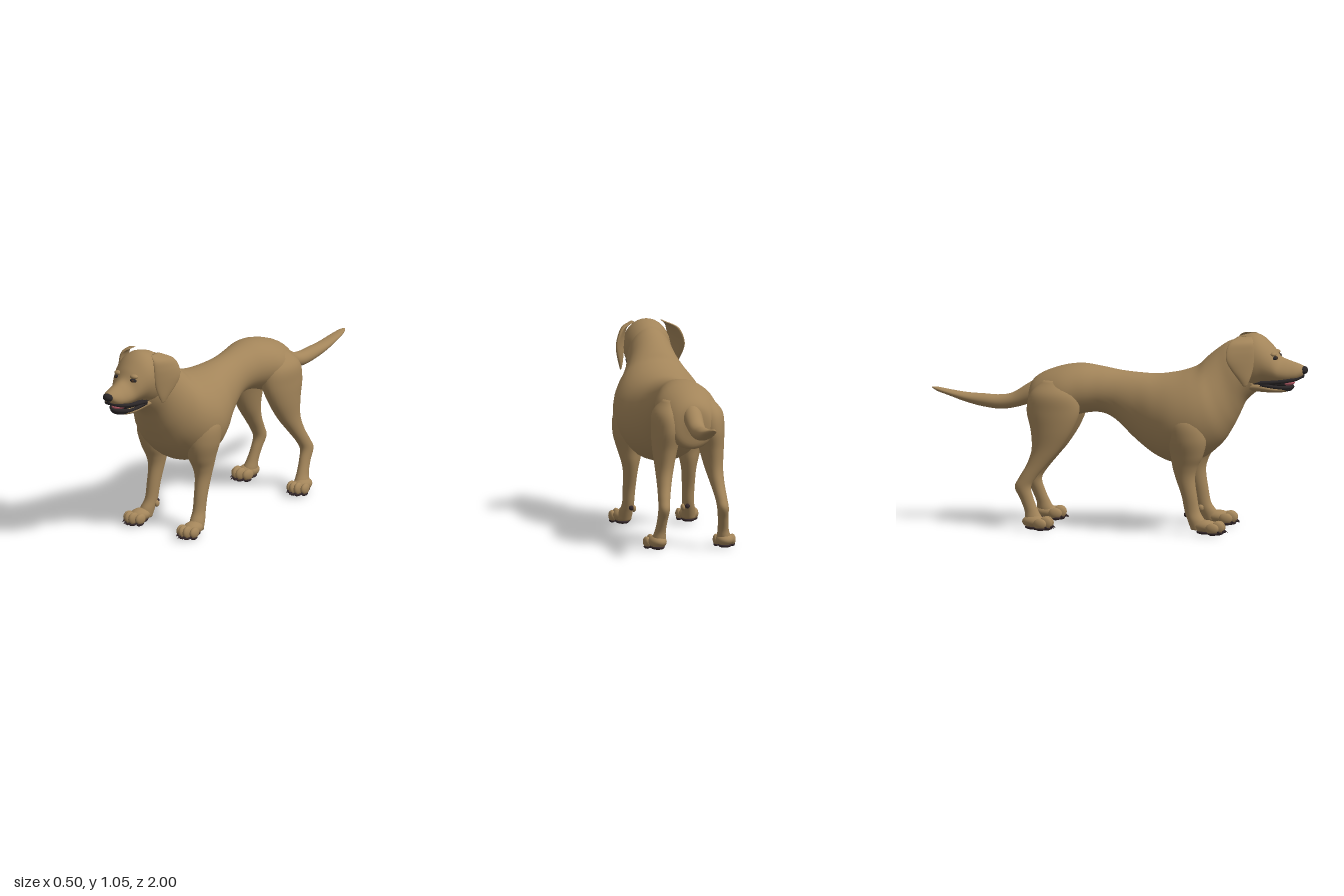
import * as THREE from 'three';

const mat = (name, color) => {
  const m = new THREE.MeshStandardMaterial({ color });
  m.name = name;
  return m;
};
const V = (x, y, z) => new THREE.Vector3(x, y, z);

// Smooth closed skin through sections { a, b, side, w, p }: a and b are opposite
// rim points, w the half width along side, p widens the b end.
function loft(sections, steps = 6, sides = 32) {
  const curve = (f) => new THREE.CatmullRomCurve3(sections.map(f), false, 'catmullrom', 0.5);
  const ca = curve((s) => s.a), cb = curve((s) => s.b);
  const cs = curve((s) => s.side), cw = curve((s) => V(s.w, s.p || 0, 0));
  const n = (sections.length - 1) * steps;
  const pos = [], idx = [];
  for (let i = 0; i <= n; i++) {
    const t = i / n, a = ca.getPoint(t), b = cb.getPoint(t), w = cw.getPoint(t);
    const side = cs.getPoint(t).normalize();
    const mid = a.clone().add(b).multiplyScalar(0.5), half = a.clone().sub(mid);
    for (let j = 0; j < sides; j++) {
      const g = (j / sides) * Math.PI * 2, c = Math.cos(g);
      const q = mid.clone().addScaledVector(half, c)
        .addScaledVector(side, Math.sin(g) * w.x * (1 - w.y * c));
      pos.push(q.x, q.y, q.z);
      if (i < n) {
        const k = i * sides + j, l = i * sides + ((j + 1) % sides);
        idx.push(k, l, k + sides, l, l + sides, k + sides);
      }
    }
  }
  // end caps
  for (const i of [0, n]) {
    const m = ca.getPoint(i / n).add(cb.getPoint(i / n)).multiplyScalar(0.5);
    const c = pos.length / 3;
    pos.push(m.x, m.y, m.z);
    for (let j = 0; j < sides; j++) {
      const k = i * sides + j, l = i * sides + ((j + 1) % sides);
      if (i === 0) idx.push(c, l, k); else idx.push(c, k, l);
    }
  }
  // turn the skin outward if its signed volume is negative
  let vol = 0;
  const P = (i) => V(pos[3 * i], pos[3 * i + 1], pos[3 * i + 2]);
  for (let i = 0; i < idx.length; i += 3) vol += P(idx[i]).dot(P(idx[i + 1]).cross(P(idx[i + 2])));
  if (vol < 0) idx.reverse();
  const geo = new THREE.BufferGeometry();
  geo.setAttribute('position', new THREE.Float32BufferAttribute(pos, 3));
  geo.setIndex(idx);
  geo.computeVertexNormals();
  return geo;
}

// rows of [topZ, topY, bottomZ, bottomY, halfWidth, widenBelow]
const spine = (rows) => loft(rows.map(([tz, ty, bz, by, w, p]) =>
  ({ a: V(0, ty, tz), b: V(0, by, bz), side: V(1, 0, 0), w, p })));
// rows of [y, x, halfX, z, halfZ]
const limb = (rows, s) => loft(rows.map(([y, x, hx, z, hz]) =>
  ({ a: V(s * x, y, z + hz), b: V(s * x, y, z - hz), side: V(1, 0, 0), w: hx })));

export function createModel() {
  const fur = mat('tan fur', 0xa3855a);
  const dark = mat('dark lips and nose', 0x2a2627);
  const pad = mat('dark brown pads and claws', 0x35282a);
  const pink = mat('pink tongue', 0xb65c68);
  const iris = mat('brown eyes', 0x4a3320);

  const dog = new THREE.Group();
  dog.name = 'dog';
  const add = (parent, name, geo, m) => {
    const mesh = new THREE.Mesh(geo, m);
    mesh.name = name;
    parent.add(mesh);
    return mesh;
  };
  const ball = (parent, name, m, p, r) => {
    const mesh = add(parent, name, new THREE.SphereGeometry(1, 20, 14), m);
    mesh.position.set(...p);
    mesh.scale.set(...r);
    return mesh;
  };
  const tube = (parent, name, pts, r, m) => add(parent, name,
    new THREE.TubeGeometry(new THREE.CatmullRomCurve3(pts.map((p) => V(...p))), 40, r, 8), m);

  // Torso and neck
  add(dog, 'bodyAndNeck', spine([
    [-0.483, 0.7, -0.483, 0.62, 0.03], [-0.462, 0.765, -0.47, 0.54, 0.105],
    [-0.4, 0.812, -0.41, 0.53, 0.145], [-0.3, 0.847, -0.3, 0.56, 0.165],
    [-0.2, 0.86, -0.2, 0.595, 0.146], [-0.1, 0.848, -0.1, 0.605, 0.12],
    [0, 0.83, -0.02, 0.57, 0.115], [0.1, 0.82, 0.09, 0.468, 0.145],
    [0.2, 0.816, 0.2, 0.388, 0.198], [0.3, 0.83, 0.31, 0.352, 0.238],
    [0.37, 0.85, 0.44, 0.378, 0.242], [0.42, 0.872, 0.545, 0.46, 0.218],
    [0.46, 0.91, 0.605, 0.55, 0.175], [0.52, 0.96, 0.64, 0.62, 0.14],
    [0.58, 1.0, 0.675, 0.69, 0.122], [0.64, 1.02, 0.735, 0.745, 0.1],
  ]), fur);

  // Tail
  add(dog, 'tail', spine([
    [-0.4, 0.8, -0.41, 0.66, 0.05], [-0.49, 0.745, -0.465, 0.645, 0.05],
    [-0.57, 0.695, -0.535, 0.622, 0.045], [-0.64, 0.681, -0.625, 0.606, 0.042],
    [-0.72, 0.684, -0.72, 0.615, 0.041], [-0.81, 0.688, -0.815, 0.637, 0.038],
    [-0.9, 0.7, -0.905, 0.668, 0.032], [-0.97, 0.712, -0.97, 0.69, 0.02],
    [-1, 0.712, -1, 0.708, 0.004],
  ]), fur);

  // Head: skull with muzzle, lower jaw, mouth
  const head = new THREE.Group();
  head.name = 'head';
  dog.add(head);
  add(head, 'skullAndMuzzle', spine([
    [0.57, 0.96, 0.61, 0.82, 0.07], [0.61, 1.012, 0.64, 0.765, 0.105],
    [0.66, 1.036, 0.68, 0.75, 0.122], [0.72, 1.045, 0.73, 0.765, 0.122],
    [0.77, 1.024, 0.77, 0.785, 0.113], [0.82, 0.975, 0.815, 0.788, 0.093, 0.05],
    [0.855, 0.928, 0.855, 0.79, 0.075, 0.2], [0.9, 0.908, 0.9, 0.793, 0.063, 0.25],
    [0.945, 0.893, 0.94, 0.803, 0.052, 0.2], [0.977, 0.879, 0.967, 0.822, 0.035, 0.1],
    [0.985, 0.865, 0.98, 0.84, 0.012],
  ]), fur);
  add(head, 'lowerJaw', spine([
    [0.65, 0.8, 0.65, 0.742, 0.07], [0.74, 0.8, 0.74, 0.738, 0.075],
    [0.82, 0.778, 0.83, 0.735, 0.066], [0.885, 0.77, 0.885, 0.741, 0.049],
    [0.912, 0.765, 0.91, 0.75, 0.025],
  ]), fur);
  add(head, 'mouthInside', spine([
    [0.72, 0.81, 0.72, 0.77, 0.07], [0.8, 0.81, 0.8, 0.765, 0.066],
    [0.87, 0.81, 0.86, 0.765, 0.05], [0.9, 0.8, 0.88, 0.765, 0.03],
  ]), dark);
  add(head, 'chinLip', spine([
    [0.865, 0.779, 0.865, 0.747, 0.057], [0.89, 0.776, 0.89, 0.743, 0.05],
    [0.912, 0.774, 0.912, 0.748, 0.034], [0.924, 0.767, 0.92, 0.757, 0.012],
  ]), dark);
  const lip = (pts) => [...pts.map(([x, y, z]) => [-x, y, z]), ...pts.slice(0, -1).reverse()];
  tube(head, 'upperLip', lip([[0.085, 0.795, 0.76], [0.072, 0.798, 0.83], [0.062, 0.804, 0.89],
    [0.042, 0.812, 0.937], [0, 0.824, 0.966]]), 0.01, dark);
  tube(head, 'lowerLip', lip([[0.083, 0.786, 0.76], [0.069, 0.773, 0.83], [0.053, 0.768, 0.885],
    [0, 0.767, 0.918]]), 0.009, dark);
  ball(head, 'tongue', pink, [0, 0.789, 0.868], [0.04, 0.018, 0.062]);
  ball(head, 'nose', dark, [0, 0.857, 0.974], [0.031, 0.022, 0.026]);
  ball(head, 'noseGroove', dark, [0, 0.832, 0.97], [0.012, 0.018, 0.012]);

  // Paw with four toes, claws and underside pads
  const paw = (name, x, z, turn) => {
    const g = new THREE.Group();
    g.name = name;
    g.position.set(x, 0, z);
    g.rotation.y = turn;
    dog.add(g);
    ball(g, 'foot', fur, [0, 0.043, -0.015], [0.047, 0.034, 0.065]);
    ball(g, 'heelPad', pad, [0, 0.013, -0.015], [0.036, 0.013, 0.05]);
    for (const k of [-1.5, -0.5, 0.5, 1.5]) {
      const tx = k * 0.028, tz = Math.abs(k) > 1 ? 0.03 : 0.053, h = Math.abs(k) > 1 ? 0.029 : 0.033;
      ball(g, 'toe', fur, [tx, h + 0.007, tz], [0.0185, h, 0.036]);
      ball(g, 'toePad', pad, [tx, 0.011, tz + 0.002], [0.014, 0.011, 0.026]);
      const claw = add(g, 'claw', new THREE.ConeGeometry(0.008, 0.03, 10), pad);
      claw.position.set(tx, 0.019, tz + 0.036);
      claw.rotation.x = 2.0;
    }
  };

  for (const s of [1, -1]) {
    const sideName = s > 0 ? 'left' : 'right';

    // Ear flap, rows of [y, frontX, frontZ, backX, backZ, halfThickness]
    add(head, sideName + 'Ear', loft([
      [1.036, 0.08, 0.715, 0.08, 0.65, 0.006], [1.012, 0.105, 0.73, 0.142, 0.612, 0.015],
      [0.97, 0.115, 0.735, 0.17, 0.597, 0.015], [0.92, 0.118, 0.735, 0.181, 0.6, 0.014],
      [0.87, 0.121, 0.729, 0.172, 0.625, 0.013], [0.82, 0.13, 0.715, 0.155, 0.658, 0.01],
      [0.785, 0.138, 0.7, 0.144, 0.68, 0.004],
    ].map(([y, fx, fz, bx, bz, w]) => ({
      a: V(s * fx, y, fz), b: V(s * bx, y, bz), side: V(s * (fz - bz), 0, bx - fx).normalize(), w,
    }))), fur);

    // Eye with dark rim, and brow
    const rim = ball(head, sideName + 'EyeRim', dark, [s * 0.056, 0.924, 0.835], [0.018, 0.01, 0.013]);
    rim.rotation.set(0, s * 0.5, s * -0.15);
    ball(head, sideName + 'Eye', iris, [s * 0.057, 0.924, 0.841], [0.009, 0.008, 0.009]);
    ball(head, sideName + 'Brow', fur, [s * 0.052, 0.943, 0.825], [0.024, 0.012, 0.018]);

    // Front leg
    add(dog, sideName + 'FrontLeg', limb([
      [0.68, 0.135, 0.04, 0.37, 0.06], [0.6, 0.155, 0.088, 0.375, 0.1],
      [0.5, 0.16, 0.087, 0.385, 0.105], [0.41, 0.157, 0.066, 0.385, 0.085],
      [0.35, 0.156, 0.049, 0.375, 0.066], [0.29, 0.156, 0.038, 0.377, 0.051],
      [0.2, 0.158, 0.033, 0.398, 0.041], [0.12, 0.16, 0.031, 0.414, 0.04],
      [0.07, 0.167, 0.036, 0.438, 0.046], [0.025, 0.172, 0.036, 0.455, 0.045],
    ], s), fur);
    ball(dog, sideName + 'WristPad', pad, [s * 0.15, 0.098, 0.379], [0.013, 0.013, 0.011]);
    ball(dog, sideName + 'Dewclaw', fur, [s * 0.131, 0.09, 0.405], [0.012, 0.018, 0.016]);
    paw(sideName + 'FrontPaw', s * 0.177, 0.503, s * 0.06);

    // Hind leg
    add(dog, sideName + 'HindLeg', limb([
      [0.78, 0.09, 0.04, -0.33, 0.06], [0.71, 0.108, 0.076, -0.332, 0.125],
      [0.62, 0.113, 0.078, -0.335, 0.14], [0.52, 0.124, 0.064, -0.342, 0.11],
      [0.42, 0.132, 0.048, -0.37, 0.075], [0.34, 0.142, 0.037, -0.415, 0.054],
      [0.27, 0.152, 0.031, -0.463, 0.045], [0.22, 0.157, 0.03, -0.487, 0.043],
      [0.16, 0.162, 0.027, -0.465, 0.036], [0.1, 0.168, 0.029, -0.44, 0.036],
      [0.06, 0.173, 0.036, -0.427, 0.045], [0.025, 0.175, 0.036, -0.42, 0.045],
    ], s), fur);
    paw(sideName + 'HindPaw', s * 0.182, -0.408, s * 0.15);
  }
  return dog;
}
